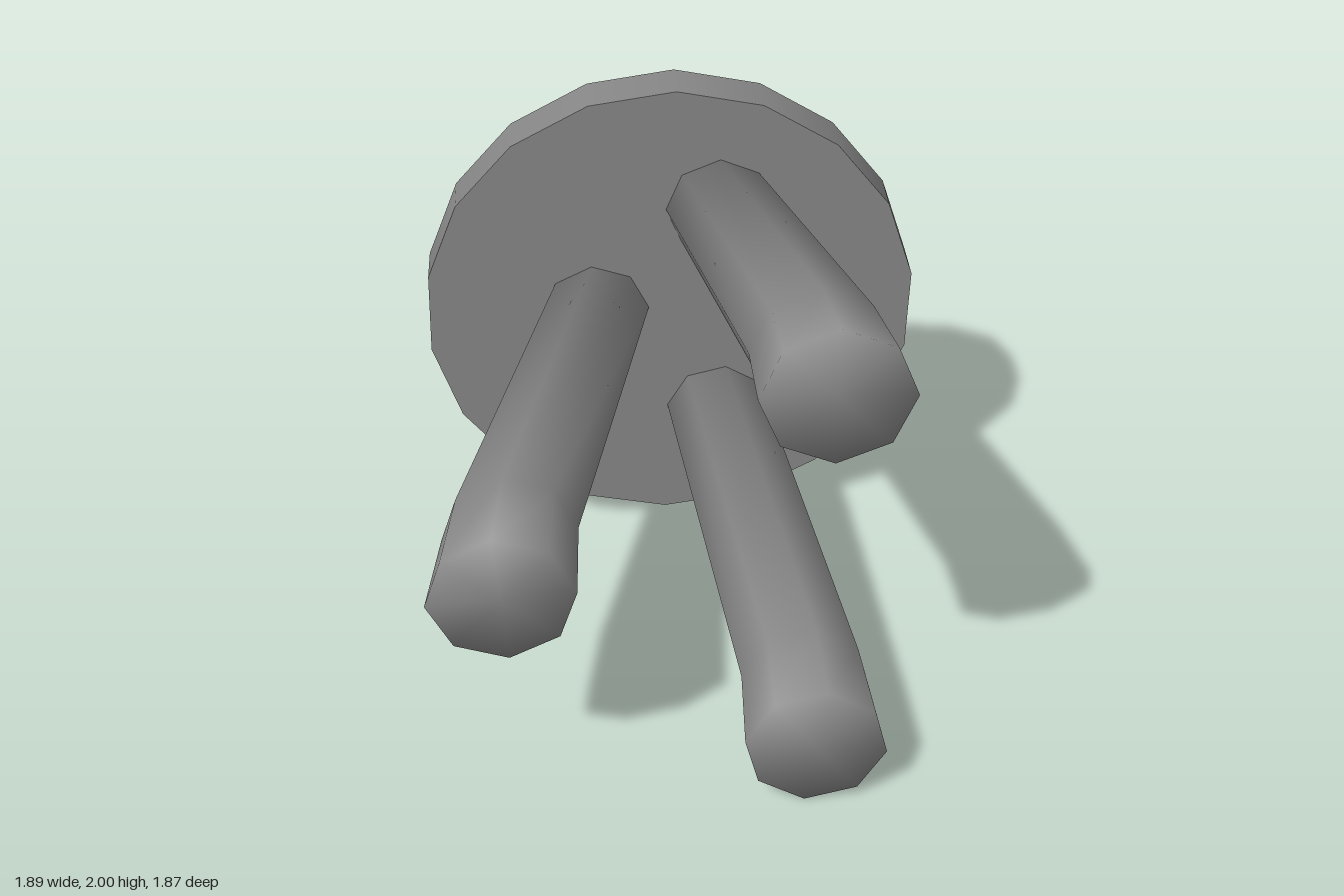
import * as THREE from 'three';

const material = new THREE.MeshStandardMaterial({ color: 0x878787 });
const rad = THREE.MathUtils.degToRad;

// Eight-sided leg lofted through rings [x, y, z, radius, normal tilt along z],
// shaded smoothly over its flat ends
function legGeometry(rings, turn) {
  const sides = 8;
  const pos = [];
  const normals = [];
  const index = [];
  rings.forEach(([x, y, z, r, tilt], k) => {
    const from = rings[Math.max(k - 1, 0)];
    const to = rings[Math.min(k + 1, rings.length - 1)];
    const slope = [0, 1].map((c) => (to[c] - from[c]) / (to[2] - from[2]));
    for (let i = 0; i < sides; i++) {
      const a = rad(turn) + (i / sides) * Math.PI * 2;
      const cos = Math.cos(a);
      const sin = Math.sin(a);
      pos.push(x + r * cos, y + r * sin, z);
      const n = new THREE.Vector3(cos, sin, tilt - slope[0] * cos - slope[1] * sin);
      normals.push(...n.normalize().toArray());
    }
  });
  // Centres of the two ends
  const last = (rings.length - 1) * sides;
  const rootCentre = last + sides;
  const footCentre = rootCentre + 1;
  pos.push(...rings[0].slice(0, 3), ...rings[rings.length - 1].slice(0, 3));
  normals.push(0, 0, -1, 0, 0, 1);

  for (let i = 0; i < sides; i++) {
    const j = (i + 1) % sides;
    for (let k = 0; k < last; k += sides) {
      index.push(k + i, k + j, k + j + sides, k + i, k + j + sides, k + i + sides);
    }
    index.push(rootCentre, j, i, footCentre, last + i, last + j);
  }
  const geo = new THREE.BufferGeometry();
  geo.setAttribute('position', new THREE.Float32BufferAttribute(pos, 3));
  geo.setAttribute('normal', new THREE.Float32BufferAttribute(normals, 3));
  geo.setIndex(index);
  return geo;
}

export function createModel() {
  const group = new THREE.Group();
  group.name = 'stool';

  // Round seat, standing on edge at the back
  const seatGeo = new THREE.CylinderGeometry(0.957, 0.957, 0.185, 18);
  seatGeo.rotateX(Math.PI / 2);
  seatGeo.rotateZ(rad(-1.5));
  const seat = new THREE.Mesh(seatGeo, material);
  seat.name = 'seat';
  seat.position.set(0, 1.015, -0.84);
  group.add(seat);

  // Three splayed legs: root at the seat, bend, foot
  const legs = [
    { name: 'rightLeg', turn: 4, root: [-0.29, 1.025], bend: [-0.625, 1.0], foot: [-0.655, 0.98] },
    { name: 'upperLeftLeg', turn: 0, root: [0.19, 1.475], bend: [0.415, 1.708], foot: [0.435, 1.746] },
    { name: 'lowerLeftLeg', turn: -8, root: [0.19, 0.543], bend: [0.412, 0.273], foot: [0.418, 0.254] },
  ];
  for (const { name, turn, root, bend, foot } of legs) {
    const rings = [
      [...root, -0.755, 0.207, -0.8],
      [...bend, 0.61, 0.235, 0],
      [...foot, 0.935, 0.254, 0.8],
    ];
    const leg = new THREE.Mesh(legGeometry(rings, turn), material);
    leg.name = name;
    group.add(leg);
  }
  return group;
}
